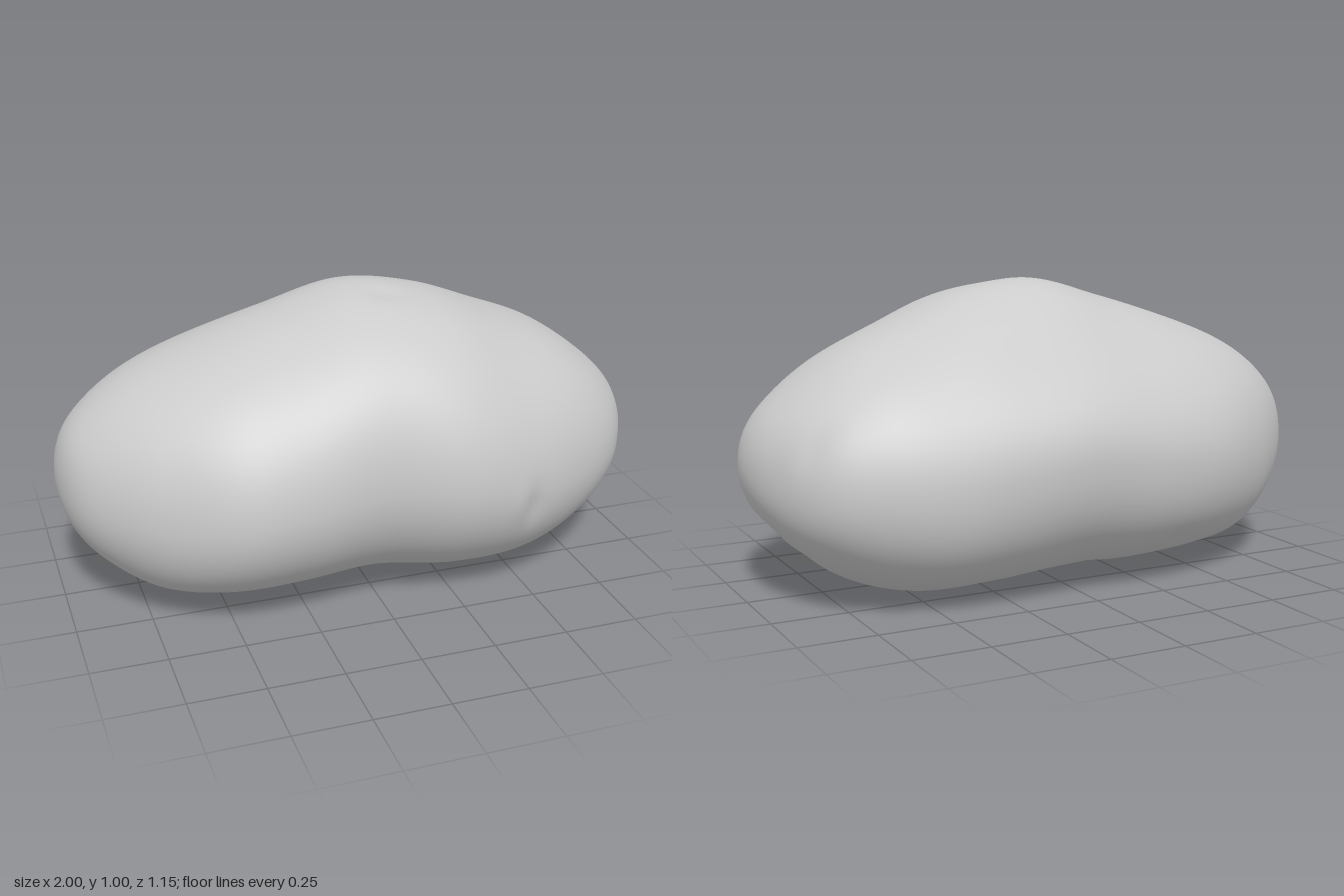
import * as THREE from 'three';

// Outline heights and depths at 13 stations spaced evenly in angle, x = -cos(k * 15deg)
const TOP = [.435, .583, .69, .785, .865, .935, 1, .965, .87, .78, .67, .56, .43];
const BOTTOM = [.435, .285, .16, .058, .03, .022, .025, .003, .005, .065, .175, .295, .43];
const FRONT = [0, .165, .305, .44, .545, .565, .553, .575, .53, .44, .32, .165, -.01];
const BACK = [0, -.145, -.275, -.405, -.51, -.565, -.575, -.573, -.55, -.49, -.39, -.2, -.01];

// Dents and bumps: centre x, y, z, then radii along x, y, z, then depth (negative bulges)
const DENTS = [
  [-.1, .25, .5, .28, .28, .35, .01], // broad hollow on the front
  [.47, .35, .53, .04, .07, .1, .013], // eye on the front
  [.43, .37, .53, .04, .07, .1, -.006],
  [.1, .99, .1, .06, .06, .05, .009], // eye on the top
  [.9, .23, .08, .12, .035, .12, .02], // scarred end
  [.93, .38, .2, .1, .04, .05, .009],
  [.85, .15, -.03, .1, .03, .08, .01],
  [.78, .08, .1, .08, .04, .05, .008],
  [.9, .55, -.33, .1, .08, .04, .008],
  [-.1, .08, -.25, .05, .06, .06, .01], // eyes underneath
  [-.35, .15, -.42, .05, .05, .05, .007],
];

// Closed smooth loop through both outlines, so the ends stay round
function loop(a, b) {
  const values = [...a, ...b.slice(1, -1).reverse()];
  const curve = new THREE.CatmullRomCurve3(
    values.map((v) => new THREE.Vector3(0, v, 0)), true, 'catmullrom', 0.5);
  return (t) => curve.getPoint(t % 1).y;
}

// How far a cross-section departs from an ellipse, strongest between its four extremes
function fullness(x, c, s) {
  const middle = Math.exp(-((x / 0.5) ** 2));
  if (s > 0) return c < 0 ? 0.03 - 0.14 * middle : 0.015;
  return c < 0 ? 0.045 : 0.015;
}

function tuberGeometry(rows = 120, cols = 144) {
  const side = loop(TOP, BOTTOM);
  const plan = loop(FRONT, BACK);
  const positions = [];
  const index = [];
  const p = new THREE.Vector3();
  const axis = new THREE.Vector3();

  const addPoint = (t, angle) => {
    const top = side(t), bottom = side(1 - t), front = plan(t), back = plan(1 - t);
    const yc = THREE.MathUtils.lerp(bottom, top, 0.46);
    const zc = (front + back) / 2;
    const c = Math.cos(angle), s = Math.sin(angle);
    const x = -Math.cos(t * Math.PI * 2);
    const r = 1 + fullness(x, c, s) * Math.sin(2 * angle) ** 2;
    p.set(
      x,
      yc + r * s * (s > 0 ? top - yc : yc - bottom),
      zc + r * c * (c > 0 ? front - zc : zc - back));
    axis.set(x * 0.6, yc, zc).sub(p).normalize();
    let push = 0;
    for (const [dx, dy, dz, rx, ry, rz, depth] of DENTS) {
      const d = ((p.x - dx) / rx) ** 2 + ((p.y - dy) / ry) ** 2 + ((p.z - dz) / rz) ** 2;
      push += depth * Math.exp(-d);
    }
    // faint unevenness of the skin
    push += 0.002 * Math.sin(9 * p.x + 4 * p.z) * Math.sin(8 * p.y - 5 * p.z + 1);
    p.addScaledVector(axis, push);
    positions.push(p.x, p.y, p.z);
  };

  // one point at each end, with closed rings between
  addPoint(0, 0);
  for (let i = 1; i < rows; i++)
    for (let j = 0; j < cols; j++) addPoint(i / rows / 2, (j / cols) * Math.PI * 2);
  addPoint(0.5, 0);

  const last = 1 + (rows - 1) * cols;
  const at = (i, j) => 1 + i * cols + (j % cols);
  for (let j = 0; j < cols; j++) {
    index.push(0, at(0, j), at(0, j + 1));
    for (let i = 0; i < rows - 2; i++) {
      const a = at(i, j), b = at(i, j + 1), c = at(i + 1, j), d = at(i + 1, j + 1);
      index.push(a, c, b, b, c, d);
    }
    index.push(last, at(rows - 2, j + 1), at(rows - 2, j));
  }

  const geometry = new THREE.BufferGeometry();
  geometry.setAttribute('position', new THREE.Float32BufferAttribute(positions, 3));
  geometry.setIndex(index);
  geometry.computeVertexNormals();
  return geometry;
}

export function createModel() {
  const group = new THREE.Group();
  group.name = 'potato';
  const tuber = new THREE.Mesh(
    tuberGeometry(), new THREE.MeshStandardMaterial({ color: 0xcccccc }));
  tuber.name = 'tuber';
  group.add(tuber);
  return group;
}
